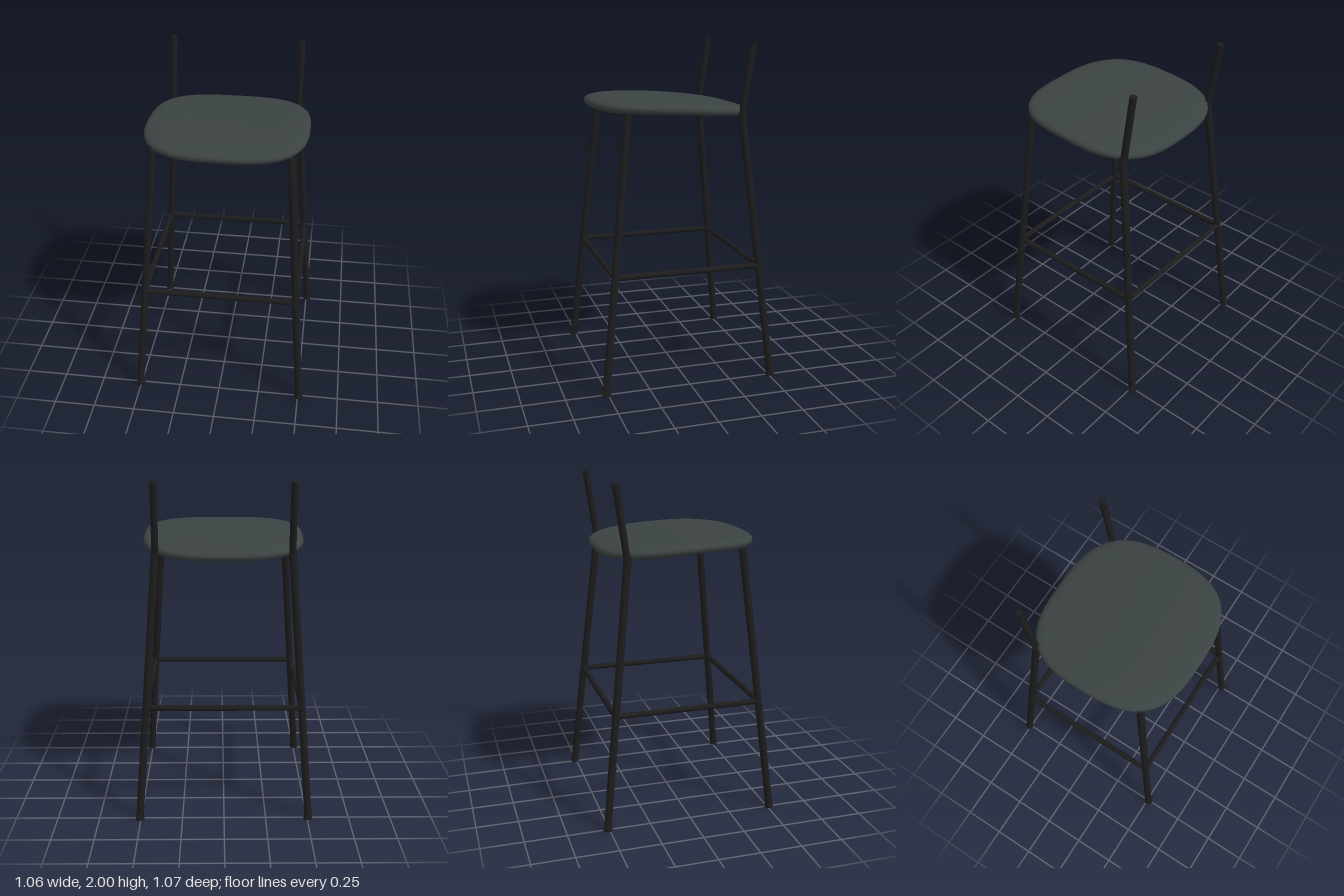
import * as THREE from 'three';
import { mergeVertices } from 'three/addons/utils/BufferGeometryUtils.js';

const frameMat = new THREE.MeshStandardMaterial({ color: 0x1c1c1c });
frameMat.name = 'black frame';
const seatMat = new THREE.MeshStandardMaterial({ color: 0x3b4342 });
seatMat.name = 'dark grey seat';

// Round bar between two points
function bar(name, a, b, radius) {
  const from = new THREE.Vector3(...a), to = new THREE.Vector3(...b);
  const dir = to.clone().sub(from);
  const mesh = new THREE.Mesh(new THREE.CylinderGeometry(radius, radius, dir.length(), 20), frameMat);
  mesh.position.copy(from).add(to).multiplyScalar(0.5);
  mesh.quaternion.setFromUnitVectors(new THREE.Vector3(0, 1, 0), dir.normalize());
  mesh.name = name;
  return mesh;
}

// Cushion: a lathed pad squared off to a rounded outline, sloped and dished
function makeSeat() {
  const profile = [
    [0, -0.03], [0.3, -0.03], [0.6, -0.03], [0.85, -0.03], [0.93, -0.029], [0.975, -0.023],
    [0.995, -0.012], [1, 0], [0.993, 0.011], [0.97, 0.02], [0.93, 0.026], [0.86, 0.03],
    [0.75, 0.032], [0.5, 0.032], [0.25, 0.032], [0, 0.032],
  ].map(([r, y]) => new THREE.Vector2(r, y));
  let geo = new THREE.LatheGeometry(profile, 72);
  const p = geo.attributes.position;
  for (let i = 0; i < p.count; i++) {
    const r = Math.hypot(p.getX(i), p.getZ(i));
    const c = r > 1e-6 ? p.getX(i) / r : 1, s = r > 1e-6 ? p.getZ(i) / r : 0;
    const k = r / Math.pow(Math.abs(c) ** 2.9 + Math.abs(s) ** 2.9, 1 / 2.9);
    const x = c * k * 0.477, z = s * k * 0.466 + 0.016;
    const t = THREE.MathUtils.clamp((0.3 - z) / 0.75, 0, 1);
    const slope = 1.638 - 0.043 * t * t * (1.6 - 0.6 * t);
    const dish = -0.008 * t * (1 - (x / 0.477) ** 2);
    p.setXYZ(i, x, p.getY(i) + slope + dish, z);
  }
  geo.deleteAttribute('normal');
  geo.deleteAttribute('uv');
  geo = mergeVertices(geo, 1e-5);
  geo.computeVertexNormals();
  const mesh = new THREE.Mesh(geo, seatMat);
  mesh.name = 'seat';
  return mesh;
}

export function createModel() {
  const model = new THREE.Group();
  model.name = 'barStool';
  model.add(makeSeat());

  for (const sx of [1, -1]) {
    const side = sx > 0 ? 'left' : 'right';
    for (const sz of [1, -1]) {
      // Splayed leg with a glide under it
      const name = side + (sz > 0 ? 'Front' : 'Back');
      model.add(bar(name + 'Leg', [sx * 0.505, 0.02, sz * 0.51], [sx * 0.39, 1.605, sz * 0.34], 0.022));
      model.add(bar(name + 'Foot', [sx * 0.505, 0, sz * 0.51], [sx * 0.505, 0.018, sz * 0.51], 0.026));
    }
    // Upright behind the seat, and side footrest
    model.add(bar(side + 'BackPost', [sx * 0.39, 1.54, -0.337], [sx * 0.388, 1.997, -0.404], 0.02));
    model.add(bar(side + 'Footrest', [sx * 0.459, 0.688, -0.44], [sx * 0.459, 0.688, 0.44], 0.017));
  }
  // Front and back footrests
  for (const sz of [1, -1]) {
    model.add(bar(sz > 0 ? 'frontFootrest' : 'backFootrest',
      [-0.459, 0.688, sz * 0.44], [0.459, 0.688, sz * 0.44], 0.017));
  }
  return model;
}
